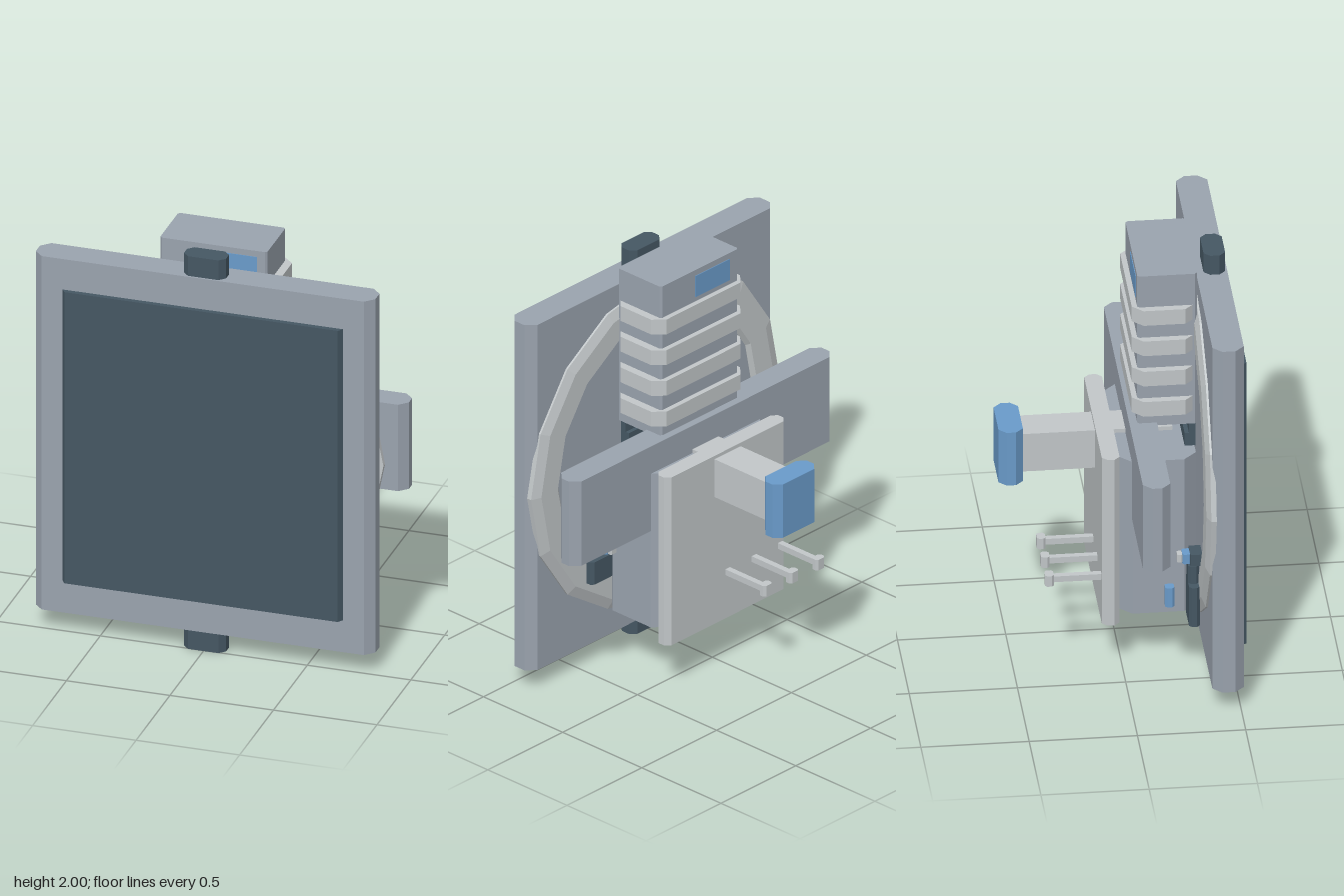
import * as THREE from 'three';

const mat = (name, color) => {
  const m = new THREE.MeshStandardMaterial({ color });
  m.name = name;
  return m;
};

export function createModel() {
  const model = new THREE.Group();
  const grey = mat('steel grey', 0x9aa3ae);
  const dark = mat('dark slate', 0x455763);
  const light = mat('light grey', 0xc2c7c9);
  const blue = mat('blue', 0x6a9bca);

  const add = (name, geometry, material) => {
    const mesh = new THREE.Mesh(geometry, material);
    mesh.name = name;
    model.add(mesh);
    return mesh;
  };

  // Prism standing along y over an outline of [x, z] points
  const prism = (name, material, outline, y0, y1) => {
    const shape = new THREE.Shape(outline.map(([x, z]) => new THREE.Vector2(x, -z)));
    const g = new THREE.ExtrudeGeometry(shape, { depth: y1 - y0, bevelEnabled: false });
    g.rotateX(-Math.PI / 2).translate(0, y0, 0);
    return add(name, g, material);
  };

  // Block whose four upright edges are cut by c
  const block = (name, material, x0, x1, y0, y1, z0, z1, c) =>
    prism(name, material, [
      [x0 + c, z1], [x1 - c, z1], [x1, z1 - c], [x1, z0 + c],
      [x1 - c, z0], [x0 + c, z0], [x0, z0 + c], [x0, z1 - c],
    ], y0, y1);

  const box = (name, material, x0, x1, y0, y1, z0, z1) => {
    const g = new THREE.BoxGeometry(x1 - x0, y1 - y0, z1 - z0);
    g.translate((x0 + x1) / 2, (y0 + y1) / 2, (z0 + z1) / 2);
    return add(name, g, material);
  };

  // Front panel with screen and the tabs above and below
  block('frontPanel', grey, -0.82, 0.82, 0.1, 1.9, 0.37, 0.515, 0.042);
  prism('screen', dark, [[-0.68, 0.51], [0.68, 0.51], [0.66, 0.54], [-0.66, 0.54]], 0.262, 1.745);
  block('topTab', dark, -0.103, 0.1, 1.9, 2, 0.405, 0.505, 0.028);
  block('bottomTab', dark, -0.103, 0.1, 0, 0.1, 0.405, 0.505, 0.028);

  // Faceted ring behind the panel
  const profile = [
    [0.67, 0.385], [0.65, 0.36], [0.67, 0.342], [0.78, 0.342],
    [0.83, 0.36], [0.83, 0.385], [0.67, 0.385],
  ].map(([r, z]) => new THREE.Vector2(r, z));
  const ring = new THREE.LatheGeometry(profile, 16).rotateX(Math.PI / 2).toNonIndexed();
  ring.computeVertexNormals();
  add('backRing', ring, light).position.y = 1.01;

  // Upper housing, its blue labels and clamping bands
  block('upperHousing', grey, -0.26, 0.258, 1.21, 2, 0.08, 0.355, 0.01);
  box('frontLabel', blue, -0.01, 0.21, 1.86, 1.97, 0.352, 0.358);
  box('rearLabel', blue, -0.2, 0.03, 1.86, 1.97, 0.077, 0.083);
  for (let i = 0; i < 4; i++) {
    const y = 1.28 + i * 0.16;
    block('band', light, -0.297, 0.297, y, y + 0.077, 0.055, 0.348, 0.05);
  }

  // Central body, crossbar and rear plate
  block('body', grey, -0.365, 0.365, 0.282, 1.083, -0.015, 0.345, 0.06);
  block('crossbar', grey, -0.87, 0.87, 0.785, 1.225, 0.043, 0.17, 0.04);
  block('rearPlate', light, -0.4, 0.4, 0.245, 1.12, -0.097, -0.015, 0.025);

  // Rear post with blue cap
  box('rearPost', light, -0.087, 0.087, 0.905, 1.102, -0.435, 0.26);
  block('postCap', blue, -0.14, 0.138, 0.865, 1.143, -0.545, -0.432, 0.035);

  // Row of pins on the rear plate
  for (const x of [-0.35, -0.175, 0]) {
    box('pinShaft', light, x - 0.015, x + 0.015, 0.47, 0.5, -0.325, -0.09);
    block('pinHead', light, x - 0.028, x + 0.028, 0.455, 0.51, -0.358, -0.318, 0.01);
  }

  // Dark spine joining the body, the housing and the panel
  box('spine', dark, -0.24, 0.24, 1.08, 1.15, 0.3, 0.35);
  box('spineNeck', dark, -0.24, 0.24, 1.15, 1.212, 0.32, 0.35);
  box('lowerSpine', dark, -0.07, 0.07, 0.265, 0.3, 0.3, 0.35);

  // Side connectors: dark blocks with small knobs between them
  const knob = (x, y) => {
    block('knobBase', blue, x - 0.03, x + 0.03, y - 0.025, y + 0.025, 0.27, 0.31, 0.008);
    block('knobTip', light, x - 0.02, x + 0.02, y - 0.02, y + 0.02, 0.247, 0.272, 0.005);
    box('knobStem', dark, x - 0.045, x + 0.045, y - 0.03, y + 0.03, 0.305, 0.36);
  };
  for (const y of [0.455, 0.65, 0.84]) {
    block('leftConnector', dark, 0.33, 0.49, y, y + 0.115, 0.295, 0.345, 0.014);
  }
  knob(0.395, 0.812);
  knob(0.395, 0.623);
  block('rightConnector', dark, -0.49, -0.33, 0.265, 0.47, 0.295, 0.345, 0.014);
  block('rightUpperConnector', dark, -0.45, -0.36, 0.47, 0.56, 0.295, 0.345, 0.014);
  knob(-0.4, 0.59);
  block('sideButton', blue, -0.41, -0.36, 0.33, 0.43, 0.193, 0.235, 0.01);

  return model;
}
